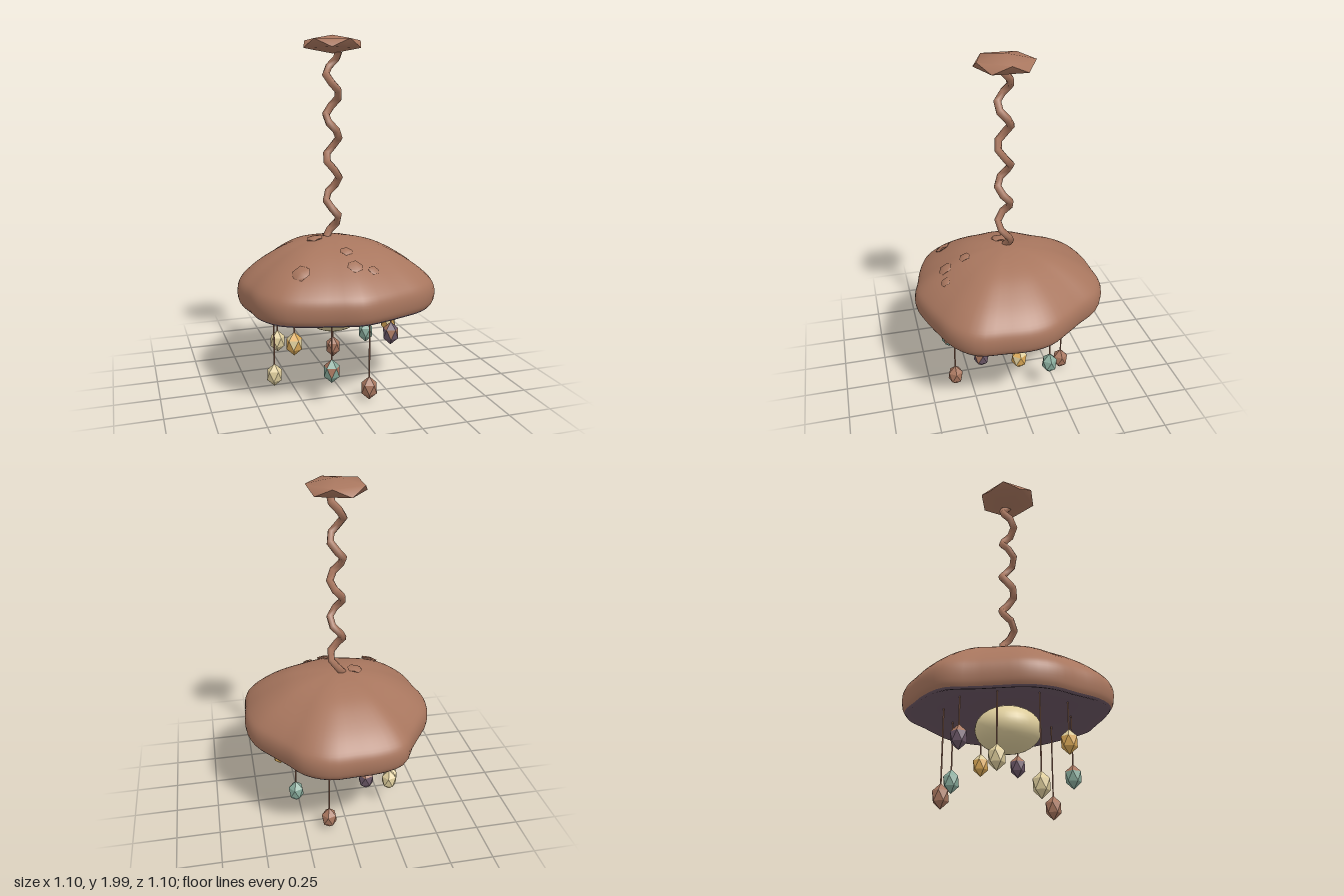
import * as THREE from 'three';
import { mergeVertices, toCreasedNormals } from 'three/addons/utils/BufferGeometryUtils.js';
import { ConvexGeometry } from 'three/addons/geometries/ConvexGeometry.js';

const V2 = (x, y) => new THREE.Vector2(x, y);
const CZ = 0.012; // hanging axis sits slightly forward of the rim's centre

function material(name, color) {
  const m = new THREE.MeshStandardMaterial({ color });
  m.name = name;
  return m;
}

// Rim radius every 15 degrees around the canopy, starting at +x and turning to +z
const RIM = [0.55, 0.557, 0.596, 0.58, 0.545, 0.538, 0.55, 0.537, 0.56, 0.594, 0.58, 0.546,
  0.55, 0.54, 0.515, 0.522, 0.573, 0.562, 0.55, 0.567, 0.553, 0.512, 0.512, 0.54, 0.55];
const rimCurve = new THREE.SplineCurve(RIM.map((r, i) => V2(i, r)));

// Lathe whose radius follows the wavy rim
function wavyLathe(points) {
  let geo = new THREE.LatheGeometry(points, 72);
  const p = geo.attributes.position;
  for (let i = 0; i < p.count; i++) {
    const x = p.getX(i), z = p.getZ(i);
    const turn = (Math.atan2(z, x) / (2 * Math.PI) + 1) % 1;
    const k = rimCurve.getPoint(turn).y / 0.55;
    p.setXYZ(i, x * k, p.getY(i), z * k);
  }
  geo.deleteAttribute('uv');
  geo.deleteAttribute('normal');
  geo = mergeVertices(geo, 1e-5);
  geo.computeVertexNormals();
  return geo;
}

// Twelve-cornered solid: two staggered five-sided rings between two points
function facetedSolid(radius, ringY, tipY) {
  const pts = [new THREE.Vector3(0, tipY, 0), new THREE.Vector3(0, -tipY, 0)];
  for (let i = 0; i < 10; i++) {
    const a = (i * Math.PI) / 5;
    pts.push(new THREE.Vector3(radius * Math.cos(a), i % 2 ? -ringY : ringY, radius * Math.sin(a)));
  }
  return new ConvexGeometry(pts);
}

// Gem with some of its upper facets in a second colour
function gemGeometry() {
  const geo = facetedSolid(0.044, 0.027, 0.068);
  const p = geo.attributes.position;
  for (let i = 0; i < p.count; i += 3) {
    const upper = p.getY(i) + p.getY(i + 1) + p.getY(i + 2) > 0;
    geo.addGroup(i, 3, upper && (i / 3) % 2 ? 1 : 0);
  }
  return geo;
}

export function createModel() {
  const group = new THREE.Group();
  const clay = material('clay brown', 0xa8765e);
  const dark = material('dark plum', 0x6a5562);
  const cream = material('cream', 0xdecd9c);
  const amber = material('amber', 0xdcaa58);
  const plum = material('dusty purple', 0x6c5868);
  const green = material('sage green', 0x88ab9b);

  function add(name, geo, mat, x = 0, y = 0, z = 0, parent = group) {
    const mesh = new THREE.Mesh(geo, mat);
    mesh.name = name;
    mesh.position.set(x, y, z);
    parent.add(mesh);
    return mesh;
  }

  // Canopy: smooth dome over a hollow underside
  const dome = new THREE.SplineCurve([
    V2(0.533, 0.511), V2(0.545, 0.535), V2(0.55, 0.58), V2(0.542, 0.625), V2(0.515, 0.665), V2(0.45, 0.722),
    V2(0.36, 0.78), V2(0.27, 0.825), V2(0.17, 0.855), V2(0.07, 0.872), V2(0, 0.875)]);
  add('canopy', wavyLathe(dome.getPoints(30)), clay);
  add('canopyUnderside', wavyLathe([
    V2(0, 0.565), V2(0.12, 0.562), V2(0.25, 0.555), V2(0.36, 0.542), V2(0.46, 0.522),
    V2(0.51, 0.503), V2(0.524, 0.5), V2(0.533, 0.511)]), dark);

  // Flat patches on the dome: x, y, z, size
  const patchGeo = toCreasedNormals(facetedSolid(1, 0.14, 0.36), 1);
  const up = new THREE.Vector3(0, 1, 0);
  [[0.005, 0.837, 0.25, 0.034], [0.015, 0.78, 0.367, 0.042], [0.115, 0.755, 0.382, 0.03],
    [-0.274, 0.757, 0.336, 0.05], [-0.11, 0.871, 0.02, 0.046]].forEach(([x, y, z, s], i) => {
    const patch = add('patch' + (i + 1), patchGeo, clay, x, y, z);
    patch.scale.set(s, s * 0.8, s);
    const normal = new THREE.Vector3(1.7 * x, 1, 1.7 * z).normalize();
    patch.quaternion.setFromUnitVectors(up, normal);
  });

  // Twisted stem with angular bends
  const helix = [];
  for (let i = 0; i <= 27; i++) {
    const y = 0.865 + (i / 27) * 1.055;
    const a = ((y - 0.97) / 0.2325) * 2 * Math.PI;
    helix.push(new THREE.Vector3(0.038 * Math.cos(a), y, CZ + 0.038 * Math.sin(a)));
  }
  add('stem', new THREE.TubeGeometry(new THREE.CatmullRomCurve3(helix), 24, 0.022, 6), clay);

  // Ceiling mount
  add('ceilingMount', toCreasedNormals(facetedSolid(0.165, 0.023, 0.05), 1), clay, 0, 1.95, 0.01);

  // Glowing globe
  add('globe', new THREE.SphereGeometry(0.182, 32, 20), cream, 0, 0.442, CZ).scale.y = 0.7;

  // Ten pendants in a circle: main colour, second colour and height
  const gemGeo = gemGeometry();
  const low = 0.074, mid = 0.2, high = 0.33, top = 0.56;
  [[amber, cream, high], [plum, clay, high], [clay, clay, low], [green, clay, mid], [amber, cream, high],
    [cream, cream, low], [cream, cream, mid], [plum, clay, high], [clay, clay, low], [green, green, mid],
  ].forEach(([main, second, y], i) => {
    const a = (i * Math.PI) / 5;
    const pendant = new THREE.Group();
    pendant.name = 'pendant' + (i + 1);
    pendant.position.set(0.352 * Math.cos(a), 0, CZ + 0.352 * Math.sin(a));
    const length = top - y - 0.06;
    add('cord', new THREE.CylinderGeometry(0.0045, 0.0045, length, 6), clay, 0, top - length / 2, 0, pendant);
    add('gem', gemGeo, [main, second], 0, y, 0, pendant);
    group.add(pendant);
  });

  return group;
}
